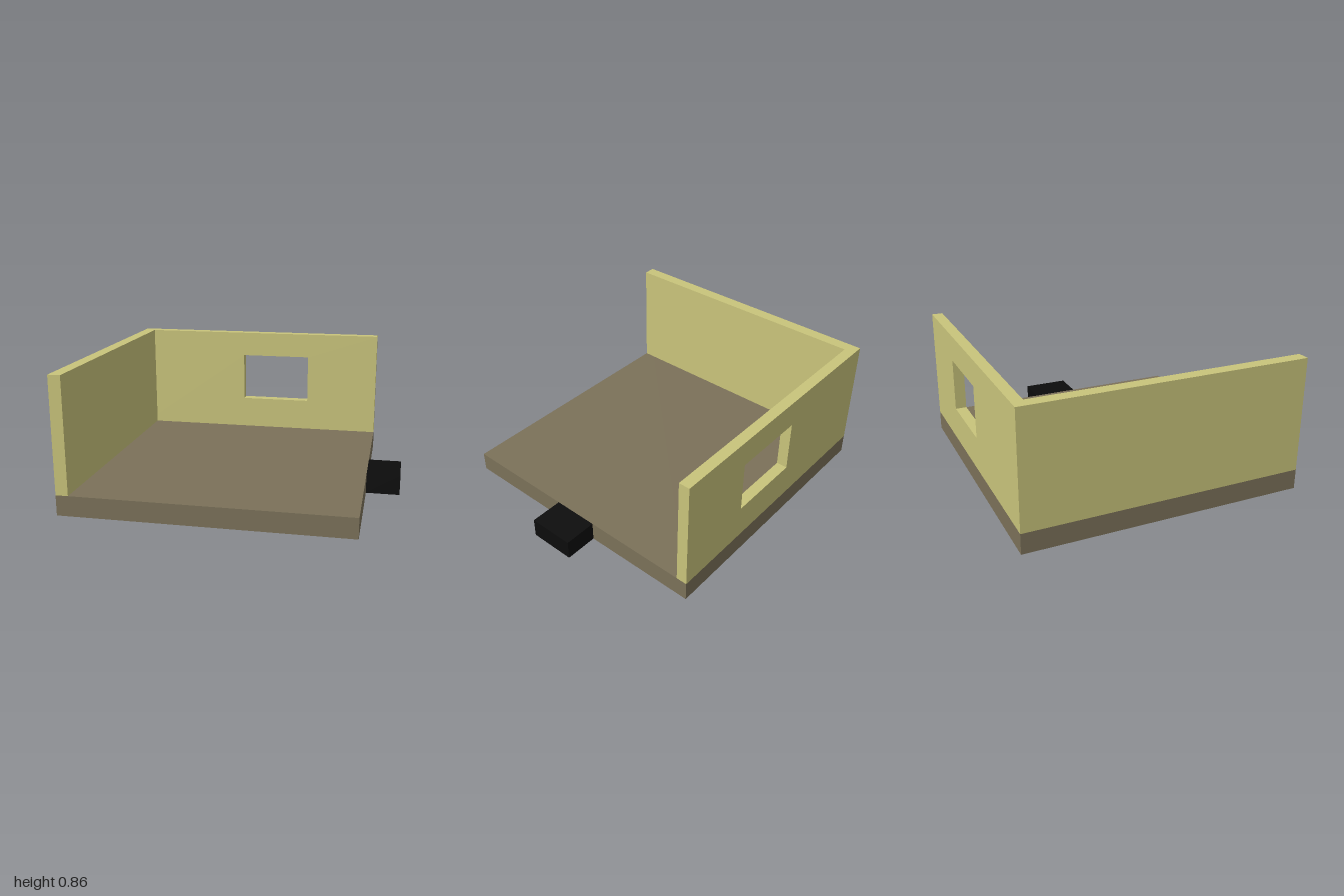
import * as THREE from 'three';

const wallMaterial = new THREE.MeshStandardMaterial({ name: 'khaki wall', color: 0xc9c47b });
const floorMaterial = new THREE.MeshStandardMaterial({ name: 'brown floor', color: 0x7b7159 });
const stepMaterial = new THREE.MeshStandardMaterial({ name: 'black step', color: 0x0c0c0c });

const FLOOR_TOP = 0.128, WALL_TOP = 0.857;
const LEFT = -1, RIGHT = 0.787, DEPTH = 0.893;
const SIDE_INNER = -0.922, BACK_INNER = -0.823;

// Box given by its minimum and maximum corners
function box(name, material, [x0, y0, z0], [x1, y1, z1]) {
  const mesh = new THREE.Mesh(new THREE.BoxGeometry(x1 - x0, y1 - y0, z1 - z0), material);
  mesh.position.set((x0 + x1) / 2, (y0 + y1) / 2, (z0 + z1) / 2);
  mesh.name = name;
  return mesh;
}

// Rectangle outline for a shape or a hole
function rectangle(path, x0, y0, x1, y1) {
  return path.moveTo(x0, y0).lineTo(x1, y0).lineTo(x1, y1).lineTo(x0, y1).closePath();
}

export function createModel() {
  const model = new THREE.Group();
  model.name = 'openRoom';

  // Floor slab, side wall and entrance step
  model.add(
    box('floor', floorMaterial, [LEFT, 0, -DEPTH], [RIGHT, FLOOR_TOP, DEPTH]),
    box('sideWall', wallMaterial, [LEFT, FLOOR_TOP, BACK_INNER], [SIDE_INNER, WALL_TOP, DEPTH]),
    box('entranceStep', stepMaterial, [RIGHT, 0, -0.15], [1, FLOOR_TOP, 0.15])
  );

  // Back wall with a window opening
  const outline = rectangle(new THREE.Shape(), LEFT, FLOOR_TOP, RIGHT, WALL_TOP);
  outline.holes.push(rectangle(new THREE.Path(), -0.213, 0.348, 0.278, 0.685));
  const backWall = new THREE.Mesh(
    new THREE.ExtrudeGeometry(outline, { depth: BACK_INNER + DEPTH, bevelEnabled: false }),
    wallMaterial
  );
  backWall.position.z = -DEPTH;
  backWall.name = 'backWall';
  model.add(backWall);

  return model;
}
